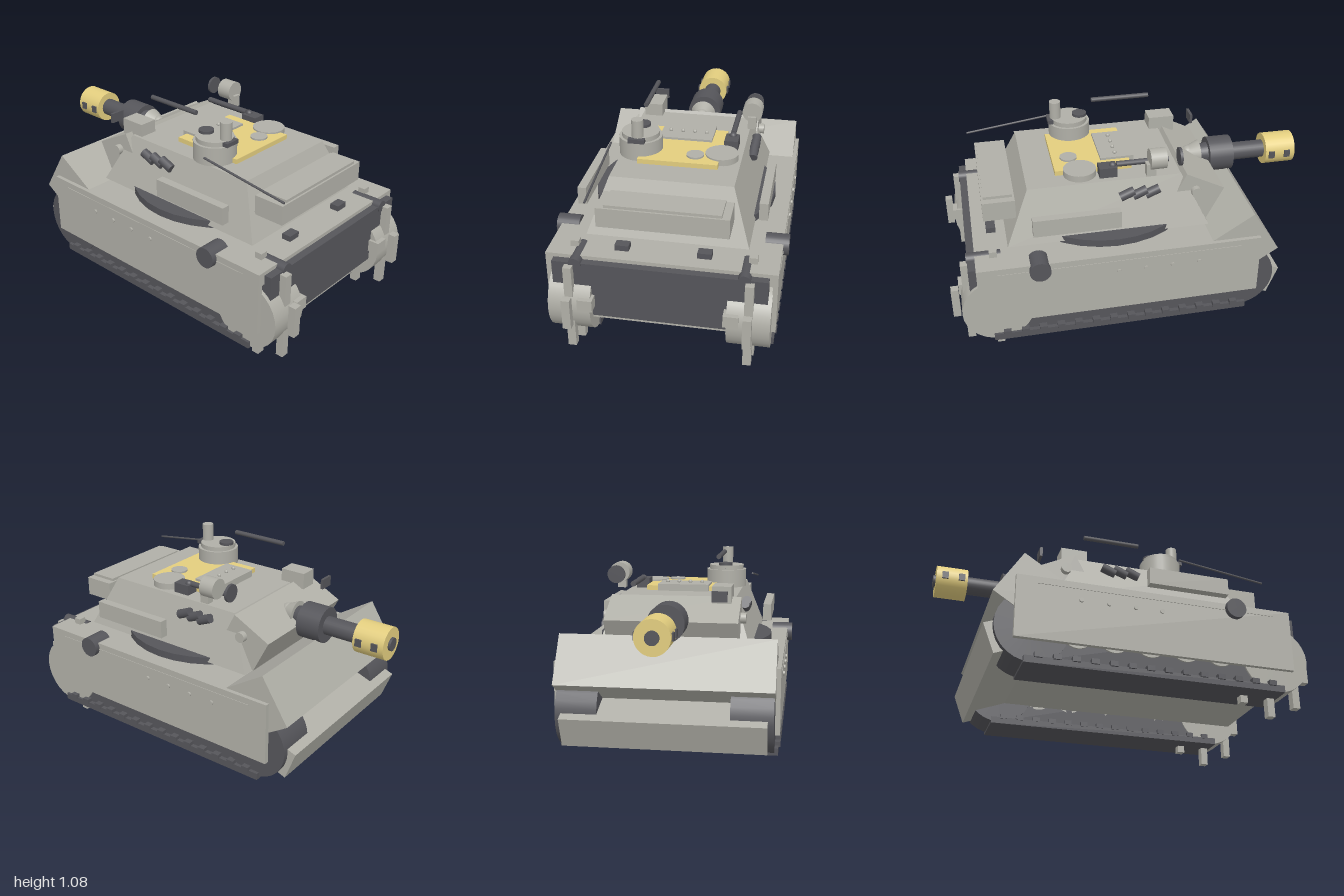
import * as THREE from 'three';

function paint(name, color) {
  const m = new THREE.MeshStandardMaterial({ color });
  m.name = name;
  return m;
}

export function createModel() {
  const grey = paint('armourGrey', 0xb0afa7);
  const dark = paint('darkSteel', 0x55555a);
  const sand = paint('sandYellow', 0xe2cd7e);
  const root = new THREE.Group();
  root.name = 'tank';

  const add = (name, geo, mat, x = 0, y = 0, z = 0) => {
    const m = new THREE.Mesh(geo, mat);
    m.name = name;
    m.position.set(x, y, z);
    root.add(m);
    return m;
  };
  // box given by its extents on each axis
  const box = (name, mat, [x0, x1], [y0, y1], [z0, z1]) =>
    add(name, new THREE.BoxGeometry(x1 - x0, y1 - y0, z1 - z0), mat,
      (x0 + x1) / 2, (y0 + y1) / 2, (z0 + z1) / 2);
  // box on both sides, given by its extents on the +x side
  const pair = (name, mat, [x0, x1], ys, zs) => {
    box(name + 'Left', mat, [x0, x1], ys, zs);
    box(name + 'Right', mat, [-x1, -x0], ys, zs);
  };
  // cylinder along an axis; r2 is the radius at the far (+axis) end
  const cyl = (name, mat, axis, r, len, x, y, z, r2 = r, sides = 28) => {
    const g = new THREE.CylinderGeometry(r2, r, len, sides);
    if (axis === 'x') g.rotateZ(-Math.PI / 2);
    if (axis === 'z') g.rotateX(Math.PI / 2);
    return add(name, g, mat, x, y, z);
  };
  // box tilted about x
  const tilted = (name, mat, w, h, d, y, z, angle) => {
    add(name, new THREE.BoxGeometry(w, h, d), mat, 0, y, z).rotation.x = angle;
  };

  // hull, its belly raised above the tracks
  box('lowerHull', grey, [-0.35, 0.35], [0.23, 0.52], [-0.56, 0.86]);
  box('deck', grey, [-0.565, 0.565], [0.5, 0.57], [-0.45, 0.86]);
  box('rearPlate', dark, [-0.535, 0.535], [0.245, 0.55], [0.84, 0.9]);
  box('rearLip', grey, [-0.53, 0.53], [0.23, 0.245], [0.82, 0.895]);
  tilted('upperFrontPlate', grey, 1.11, 0.279, 0.36, 0.494, -0.517, 0.567);
  tilted('lowerFrontPlate', grey, 1.04, 0.166, 0.3, 0.282, -0.606, -0.358);
  pair('deckLatch', dark, [0.172, 0.243], [0.568, 0.6], [0.735, 0.785]);

  // side skirts with rail
  pair('skirt', grey, [0.552, 0.577], [0.23, 0.57], [-0.635, 0.86]);
  pair('skirtRail', grey, [0.575, 0.58], [0.532, 0.536], [-0.53, 0.76]);

  // running gear on each side
  for (const s of [-1, 1]) {
    for (const z of [0.13, -0.013, -0.155, -0.3])
      cyl('skirtBolt', grey, 'x', 0.012, 0.016, s * 0.578, 0.47, z, 0.012, 10);
    box('trackBody', dark, [s * 0.445 - 0.1, s * 0.445 + 0.1], [0.12, 0.45], [-0.54, 0.74]);
    box('trackRun', dark, [s * 0.45 - 0.118, s * 0.45 + 0.118], [0.105, 0.142], [-0.58, 0.8]);
    // link bars run across the whole track
    for (let i = 0; i < 14; i++) {
      const z = 0.73 - i * 0.0953;
      box('trackLink', dark, [s * 0.453 - 0.125, s * 0.453 + 0.125], [0.135, 0.162], [z - 0.02, z + 0.02]);
    }
    for (let i = 0; i < 5; i++)
      cyl('roadWheel', grey, 'x', 0.085, 0.21, s * 0.45, 0.3, 0.45 - i * 0.19);
    cyl('frontWheel', dark, 'x', 0.19, 0.215, s * 0.4425, 0.305, -0.54);
    cyl('rearWheel', grey, 'x', 0.187, 0.215, s * 0.447, 0.295, 0.765);
    for (let i = 0; i < 8; i++) {
      const a = i * Math.PI / 4;
      add('sprocketTooth', new THREE.BoxGeometry(0.043, 0.17, 0.04), grey,
        s * 0.447, 0.303 + 0.215 * Math.sin(a), 0.765 + 0.215 * Math.cos(a));
    }
    box('rearBracket', grey, [s * 0.363 - 0.038, s * 0.363 + 0.038], [0.305, 0.37], [0.84, 0.96]);
    cyl('rearLamp', dark, 'z', 0.032, 0.18, s * 0.418, 0.545, 0.815);
    cyl('exhaust', dark, 'x', 0.055, 0.12, s * 0.545, 0.541, 0.54);
    cyl('mantletPivot', grey, 'x', 0.028, 0.06, s * 0.35, 0.765, -0.33);
  }

  // turret: a box narrowed toward the roof
  cyl('turretRing', dark, 'y', 0.495, 0.04, 0, 0.59, 0.12, 0.495, 32);
  const turretGeo = new THREE.BoxGeometry(2, 2, 2);
  const p = turretGeo.attributes.position;
  for (let i = 0; i < p.count; i++) {
    const top = p.getY(i) > 0;
    const rear = p.getZ(i) > 0;
    p.setXYZ(i, p.getX(i) * (top ? 0.318 : 0.415), top ? 0.86 : 0.585,
      rear ? (top ? 0.56 : 0.685) : (top ? -0.255 : -0.39));
  }
  turretGeo.computeVertexNormals();
  add('turret', turretGeo, grey);
  tilted('mantlet', grey, 0.7, 0.2, 0.235, 0.7265, -0.337, -0.473);
  pair('sideBin', grey, [0.445, 0.49], [0.68, 0.775], [0.1, 0.555]);
  box('rearBin', grey, [-0.33, 0.33], [0.705, 0.81], [0.625, 0.795]);
  box('rearBinLid', grey, [-0.29, 0.29], [0.805, 0.825], [0.635, 0.785]);

  // gun, along -z
  const gy = 0.775;
  cyl('gunCollar', grey, 'z', 0.072, 0.06, 0, 0.79, -0.41, 0.045);
  add('gunPivot', new THREE.SphereGeometry(0.038, 16, 12), grey, 0, 0.8, -0.38);
  cyl('gunNeck', dark, 'z', 0.06, 0.06, 0, 0.785, -0.465, 0.05);
  cyl('gunSleeve', dark, 'z', 0.097, 0.135, 0, gy, -0.555);
  cyl('barrel', dark, 'z', 0.05, 0.4, 0, gy, -0.7);
  cyl('muzzleBrake', sand, 'z', 0.088, 0.17, 0, gy, -0.902);
  cyl('muzzle', dark, 'z', 0.035, 0.05, 0, gy, -0.975);
  for (const z of [-0.85, -0.94])
    pair('muzzlePort', dark, [0.07, 0.095], [gy - 0.02, gy + 0.02], [z - 0.017, z + 0.017]);

  // smoke launchers
  for (const x of [-0.358, 0.358])
    for (let i = 0; i < 3; i++)
      cyl('smokeLauncher', dark, 'z', 0.025, 0.08, x, 0.795, 0.043 - i * 0.067, 0.025, 14).rotation.x = 0.4;

  // roof plate and hatches
  box('roofPlate', sand, [-0.21, 0.21], [0.855, 0.886], [-0.01, 0.4]);
  box('roofPanel', grey, [-0.145, 0.142], [0.855, 0.898], [-0.035, 0.145]);
  for (const x of [-0.097, -0.03, 0.035, 0.1])
    add('panelBolt', new THREE.SphereGeometry(0.011, 10, 8), grey, x, 0.903, 0.06);
  cyl('loaderHatch', grey, 'y', 0.087, 0.035, 0.215, 0.877, 0.27);
  cyl('roofVent', grey, 'y', 0.046, 0.035, 0.08, 0.878, 0.31);

  // commander's cupola
  cyl('cupola', grey, 'y', 0.115, 0.1, -0.218, 0.91, 0.26);
  cyl('cupolaLid', grey, 'y', 0.1, 0.03, -0.218, 0.97, 0.26);
  cyl('cupolaCap', dark, 'y', 0.04, 0.03, -0.218, 0.985, 0.2);
  box('cupolaBlock', dark, [-0.262, -0.175], [0.962, 0.984], [0.34, 0.382]);
  cyl('periscope', grey, 'y', 0.031, 0.11, -0.218, 1.025, 0.335);
  cyl('antenna', dark, 'z', 0.006, 0.515, -0.367, 0.892, 0.575, 0.006, 8).rotation.x = 0.135;

  // roof gun, spare rod and sights
  box('roofGunBody', dark, [0.212, 0.285], [0.86, 0.915], [0.08, 0.175]);
  add('roofGunKnob', new THREE.SphereGeometry(0.02, 14, 10), dark, 0.25, 0.914, 0.1);
  cyl('roofGunBarrel', dark, 'z', 0.015, 0.28, 0.249, 0.917, -0.06, 0.015, 12);
  cyl('roofRod', dark, 'z', 0.013, 0.325, -0.218, 1.07, -0.033, 0.013, 12);
  box('sightBox', grey, [-0.302, -0.2], [0.84, 0.93], [-0.345, -0.2]);
  box('sightShutter', dark, [-0.292, -0.21], [0.865, 0.92], [-0.462, -0.447]);

  // searchlight
  cyl('searchlight', grey, 'z', 0.055, 0.085, 0.332, 0.975, -0.12);
  box('searchlightStand', grey, [0.31, 0.355], [0.885, 0.953], [-0.11, -0.06]);
  cyl('searchlightLens', dark, 'z', 0.048, 0.014, 0.332, 0.973, -0.24);

  return root;
}
